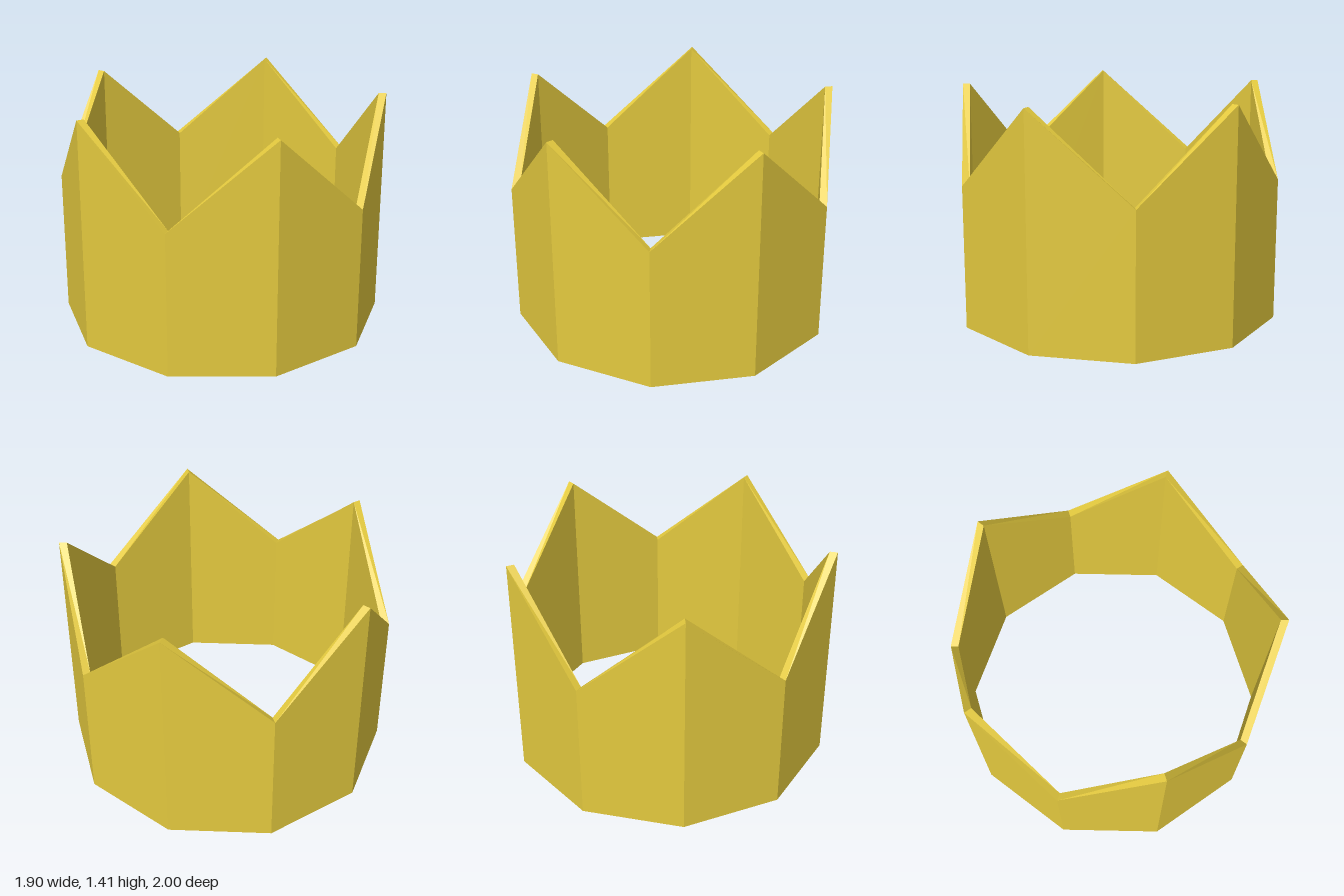
import * as THREE from 'three';

const SIDES = 10, OUTER = 1, INNER = 0.953, LOW = 0.88, HIGH = 1.412;

// Cross-section at corner i: outer bottom, outer top, inner top, inner bottom.
// Corners alternate between valleys and points, starting with a valley in front.
function section(i) {
  const a = (i / SIDES) * Math.PI * 2;
  const top = i % 2 ? HIGH : LOW;
  const at = (r, y) => [Math.sin(a) * r, y, Math.cos(a) * r];
  return [at(OUTER, 0), at(OUTER, top), at(INNER, top), at(INNER, 0)];
}

// Closed ring of flat panels joining neighbouring cross-sections
function crownGeometry() {
  const positions = [];
  for (let i = 0; i < SIDES; i++) {
    const s = section(i), t = section((i + 1) % SIDES);
    for (let k = 0; k < 4; k++) {
      const n = (k + 1) % 4;
      for (const p of [s[k], t[k], t[n], s[k], t[n], s[n]]) positions.push(...p);
    }
  }
  const geometry = new THREE.BufferGeometry();
  geometry.setAttribute('position', new THREE.Float32BufferAttribute(positions, 3));
  geometry.computeVertexNormals();
  return geometry;
}

export function createModel() {
  const model = new THREE.Group();
  model.name = 'crown';
  const gold = new THREE.MeshStandardMaterial({ color: 0xe3c93e, flatShading: true });
  const band = new THREE.Mesh(crownGeometry(), gold);
  band.name = 'pointedBand';
  model.add(band);
  return model;
}
